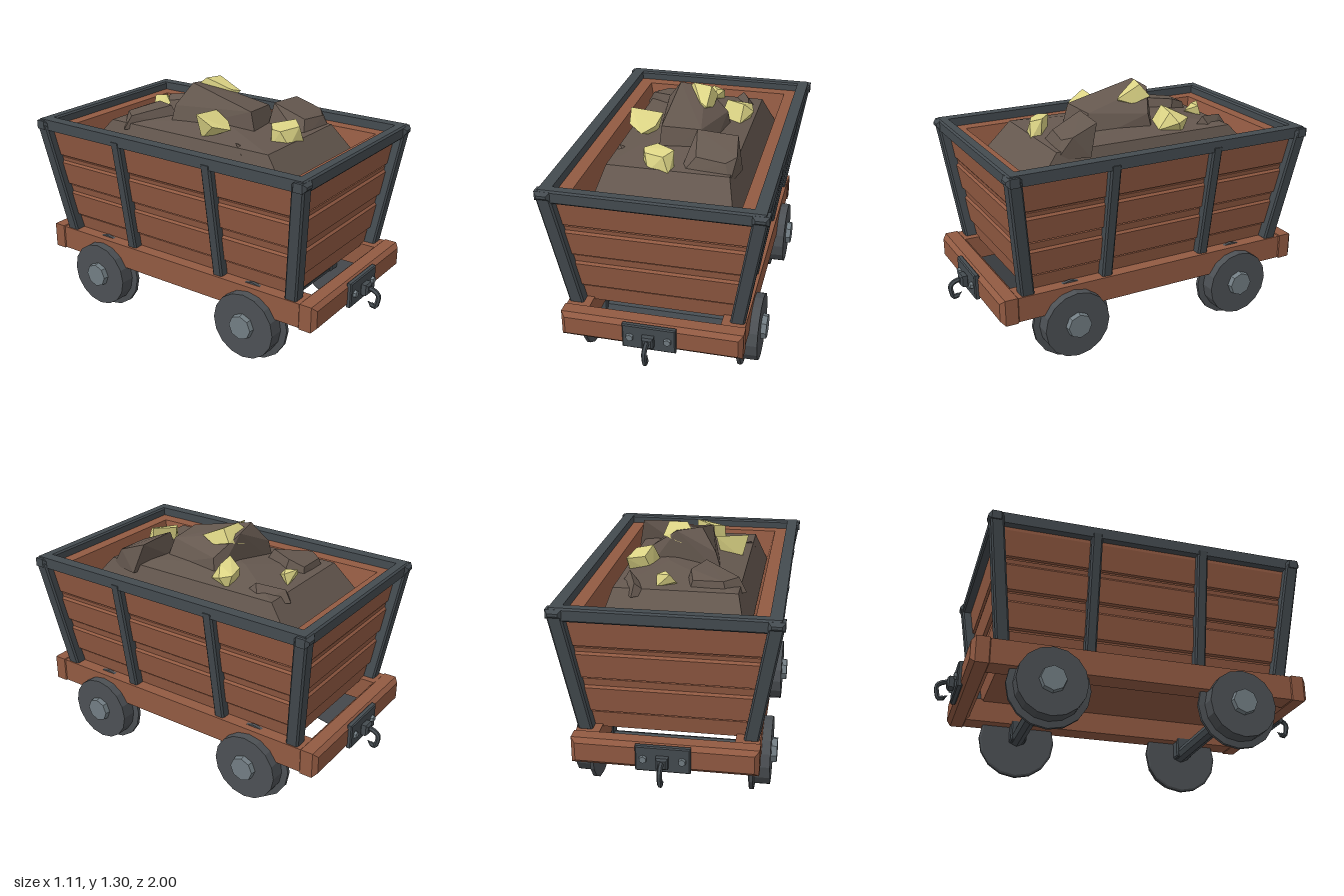
import * as THREE from 'three';
import { ConvexGeometry } from 'three/addons/geometries/ConvexGeometry.js';

const material = (name, color) => {
  const m = new THREE.MeshStandardMaterial({ color });
  m.name = name;
  return m;
};

// Gives every face its own normal
function flat(geo) {
  const g = geo.index ? geo.toNonIndexed() : geo;
  g.computeVertexNormals();
  return g;
}

// Stacked rectangles [y, halfX, halfZ], capped at both ends
function loft(sections) {
  const pos = [], idx = [];
  for (const [y, hx, hz] of sections) pos.push(hx, y, hz, hx, y, -hz, -hx, y, -hz, -hx, y, hz);
  for (let i = 0; i < sections.length - 1; i++) {
    for (let j = 0; j < 4; j++) {
      const a = i * 4 + j, b = i * 4 + (j + 1) % 4;
      idx.push(a, b, b + 4, a, b + 4, a + 4);
    }
  }
  const t = (sections.length - 1) * 4;
  idx.push(0, 2, 1, 0, 3, 2, t, t + 1, t + 2, t, t + 2, t + 3);
  const g = new THREE.BufferGeometry();
  g.setAttribute('position', new THREE.Float32BufferAttribute(pos, 3));
  g.setIndex(idx);
  return flat(g);
}

// Box with bevelled edges, centred on the origin
function chamferBox(w, h, d, b) {
  const x = w / 2 - b, y = h / 2 - b;
  const s = new THREE.Shape([[-x, -y], [x, -y], [x, y], [-x, y]].map(p => new THREE.Vector2(...p)));
  const g = new THREE.ExtrudeGeometry(s, {
    depth: d - 2 * b, bevelEnabled: true, bevelSize: b, bevelThickness: b, bevelSegments: 1
  });
  return flat(g.translate(0, 0, -d / 2 + b));
}

// Upright bevelled post that leans outwards by leanX and leanZ over its height
function leaningPost(w, h, d, leanX, leanZ) {
  const shear = new THREE.Matrix4().makeShear(0, 0, leanX / h, leanZ / h, 0, 0);
  return flat(chamferBox(w, h, d, 0.009).applyMatrix4(shear));
}

const hull = points => new ConvexGeometry(points.map(p => new THREE.Vector3(...p)));

export function createModel() {
  const root = new THREE.Group();
  root.name = 'oreCart';
  const wood = material('wood', 0x925a42);
  const iron = material('iron', 0x444b50);
  const wheelIron = material('wheelIron', 0x4c5054);
  const steel = material('steel', 0x727d83);
  const earth = material('earth', 0x65584f);
  const gold = material('gold', 0xdcd485);

  const add = (name, geo, mat, x = 0, y = 0, z = 0, parent = root) => {
    const m = new THREE.Mesh(geo, mat);
    m.name = name;
    m.position.set(x, y, z);
    parent.add(m);
    return m;
  };

  // Flared plank body: outside steps, top edge, then the inside
  const steps = [
    [0.40, 0], [0.487, 0], [0.489, -0.008], [0.499, -0.008], [0.501, 0.014], [0.63, 0.012],
    [0.642, 0], [0.68, 0], [0.682, -0.008], [0.691, -0.008], [0.693, 0.014], [0.818, 0.012],
    [0.83, 0], [0.852, 0], [0.854, -0.008], [0.863, -0.008], [0.865, 0.008], [1.0, 0.006], [1.03, 0]
  ];
  const body = steps.map(([y, o]) => [y, 0.39 + (y - 0.42) * 0.18 + o, 0.705 + (y - 0.42) * 0.14 + o]);
  add('plankBody', loft([...body, [1.03, 0.41, 0.715], [0.86, 0.37, 0.67]]), wood);

  // Timber chassis
  for (const s of [-1, 1]) {
    add('sideBeam', chamferBox(0.12, 0.13, 1.74, 0.018), wood, s * 0.395, 0.348, 0);
    add('endBeam', chamferBox(0.92, 0.138, 0.11, 0.022), wood, 0, 0.348, s * 0.825);
  }

  // Iron rim, corner caps and posts
  for (const s of [-1, 1]) {
    add('sideRim', chamferBox(0.06, 0.058, 1.68, 0.009), iron, s * 0.51, 1.046, 0);
    add('endRim', chamferBox(1.06, 0.068, 0.06, 0.009), iron, 0, 1.041, s * 0.81);
    for (const t of [-1, 1]) {
      add('cornerCap', chamferBox(0.08, 0.046, 0.08, 0.016), iron, s * 0.515, 1.045, t * 0.815);
      add('cornerPost', leaningPost(0.074, 0.64, 0.07, s * 0.105, t * 0.082), iron,
        s * 0.4625, 0.725, t * 0.771);
      add('sidePost', leaningPost(0.06, 0.64, 0.058, s * 0.105, 0), iron, s * 0.4625, 0.72, t * 0.29);
    }
  }

  // Wheel sets
  const wheelProfile = [
    [0, 0.395], [0.2, 0.395], [0.211, 0.4], [0.211, 0.418], [0.178, 0.422], [0.177, 0.5], [0, 0.5]
  ].map(p => new THREE.Vector2(...p));
  const wheelGeo = flat(new THREE.LatheGeometry(wheelProfile, 16).rotateZ(-Math.PI / 2));
  const hubGeo = flat(new THREE.CylinderGeometry(0.064, 0.068, 0.03, 8).rotateZ(-Math.PI / 2));
  const axleGeo = flat(new THREE.CylinderGeometry(0.039, 0.039, 0.8, 8).rotateZ(Math.PI / 2));
  for (const z of [-0.49, 0.49]) {
    add('axle', axleGeo, iron, 0, 0.215, z);
    for (const s of [-1, 1]) {
      const wheel = new THREE.Group();
      wheel.name = 'wheel';
      wheel.position.set(0, 0.211, z);
      wheel.rotation.y = s > 0 ? 0 : Math.PI;
      root.add(wheel);
      add('wheelDisc', wheelGeo, wheelIron, 0, 0, 0, wheel);
      add('hub', hubGeo, steel, 0.513, 0.004, 0, wheel);
      add('axleBracket', chamferBox(0.07, 0.11, 0.09, 0.008), iron, 0.365, 0.035, 0, wheel);
    }
  }

  // Coupling plate with bolts and hook at each end
  const hookPath = new THREE.CatmullRomCurve3([
    [0.92, 0.35], [0.955, 0.346], [0.985, 0.325], [0.982, 0.28], [0.972, 0.256], [0.948, 0.262]
  ].map(([z, y]) => new THREE.Vector3(0, y, z)));
  for (const s of [1, -1]) {
    const coupling = new THREE.Group();
    coupling.name = 'coupling';
    coupling.rotation.y = s > 0 ? 0 : Math.PI;
    root.add(coupling);
    add('plate', chamferBox(0.27, 0.135, 0.03, 0.006), iron, 0, 0.35, 0.885, coupling);
    add('hookMount', chamferBox(0.06, 0.06, 0.045, 0.01), iron, 0, 0.345, 0.915, coupling);
    add('hook', flat(new THREE.TubeGeometry(hookPath, 14, 0.013, 6)), iron, 0, 0, 0, coupling);
    add('hookTip', flat(new THREE.ConeGeometry(0.013, 0.03, 6).rotateX(-1)), iron, 0, 0.268, 0.94, coupling);
    for (const x of [-0.095, 0.095]) {
      add('bolt', flat(new THREE.CylinderGeometry(0.018, 0.021, 0.016, 6).rotateX(Math.PI / 2)),
        steel, x, 0.35, 0.906, coupling);
    }
  }

  // Earth load with boulders
  add('earthMound', hull([
    [-0.37, 0.87, 0.67], [0.37, 0.87, 0.67], [0.37, 0.87, -0.68], [-0.37, 0.87, -0.68],
    [-0.31, 1.07, 0.5], [0.31, 1.07, 0.5], [0.31, 1.07, -0.51], [-0.31, 1.07, -0.51],
    [0.08, 1.12, -0.2], [-0.1, 1.11, 0.1]
  ]), earth);
  const boulders = [
    [[-0.2, 1.04, -0.2], [0.21, 1.04, -0.1], [0.16, 1.04, 0.26], [-0.1, 1.04, 0.29], [-0.16, 1.17, -0.19],
      [-0.08, 1.285, -0.13], [0.05, 1.265, -0.15], [0.19, 1.16, -0.08], [0.11, 1.18, 0.23], [-0.09, 1.19, 0.25]],
    [[0.05, 1.03, 0.48], [0.31, 1.03, 0.5], [0.345, 1.03, 0.33], [0.05, 1.03, 0.25],
      [0.1, 1.2, 0.27], [0.31, 1.19, 0.28], [0.33, 1.14, 0.42], [0.28, 1.12, 0.46], [0.13, 1.13, 0.44]],
    [[-0.34, 1.04, -0.4], [-0.1, 1.04, -0.19], [-0.03, 1.04, -0.36], [-0.06, 1.04, -0.47], [-0.25, 1.04, -0.48],
      [-0.3, 1.11, -0.38], [-0.12, 1.15, -0.25], [-0.06, 1.14, -0.38], [-0.08, 1.11, -0.46], [-0.23, 1.11, -0.46]],
    [[0.13, 1.04, -0.5], [0.21, 1.04, -0.56], [0.3, 1.04, -0.42], [0.26, 1.04, -0.3],
      [0.2, 1.1, -0.52], [0.25, 1.12, -0.38]],
    [[-0.32, 1.04, 0.35], [-0.19, 1.04, 0.29], [-0.24, 1.04, 0.37], [-0.3, 1.09, 0.3]]
  ];
  boulders.forEach(p => add('boulder', hull(p), earth));

  // Gold nuggets
  const nuggets = [
    [[-0.305, 1.195, 0.06], [-0.13, 1.18, 0.06], [-0.15, 1.14, 0.15], [-0.21, 1.115, 0.21],
      [-0.29, 1.14, 0.15], [-0.27, 1.06, 0.07], [-0.16, 1.06, 0.08]],
    [[-0.14, 1.14, 0.41], [-0.08, 1.15, 0.37], [0.025, 1.16, 0.45], [-0.02, 1.14, 0.5], [-0.125, 1.13, 0.45],
      [-0.145, 1.05, 0.41], [-0.08, 1.05, 0.38], [0.025, 1.05, 0.46], [0.01, 1.05, 0.51], [-0.1, 1.05, 0.49]],
    [[-0.025, 1.27, -0.13], [0, 1.3, -0.1], [0.1, 1.295, -0.08], [0.125, 1.23, -0.13], [0.12, 1.2, -0.03],
      [0.1, 1.23, 0.055], [0.06, 1.24, 0.02], [0.02, 1.2, -0.155], [0.05, 1.18, 0]],
    [[0.14, 1.1, -0.13], [0.17, 1.19, -0.17], [0.2, 1.15, -0.25], [0.29, 1.14, -0.265], [0.31, 1.12, -0.2],
      [0.26, 1.17, -0.17], [0.25, 1.08, -0.11], [0.16, 1.05, -0.22], [0.28, 1.05, -0.23]],
    [[0, 1.1, -0.47], [0.03, 1.14, -0.485], [0.1, 1.13, -0.45], [0.06, 1.14, -0.43], [0.05, 1.1, -0.395],
      [0, 1.07, -0.42], [0.1, 1.07, -0.47]]
  ];
  nuggets.forEach(p => add('goldNugget', hull(p), gold));
  return root;
}
